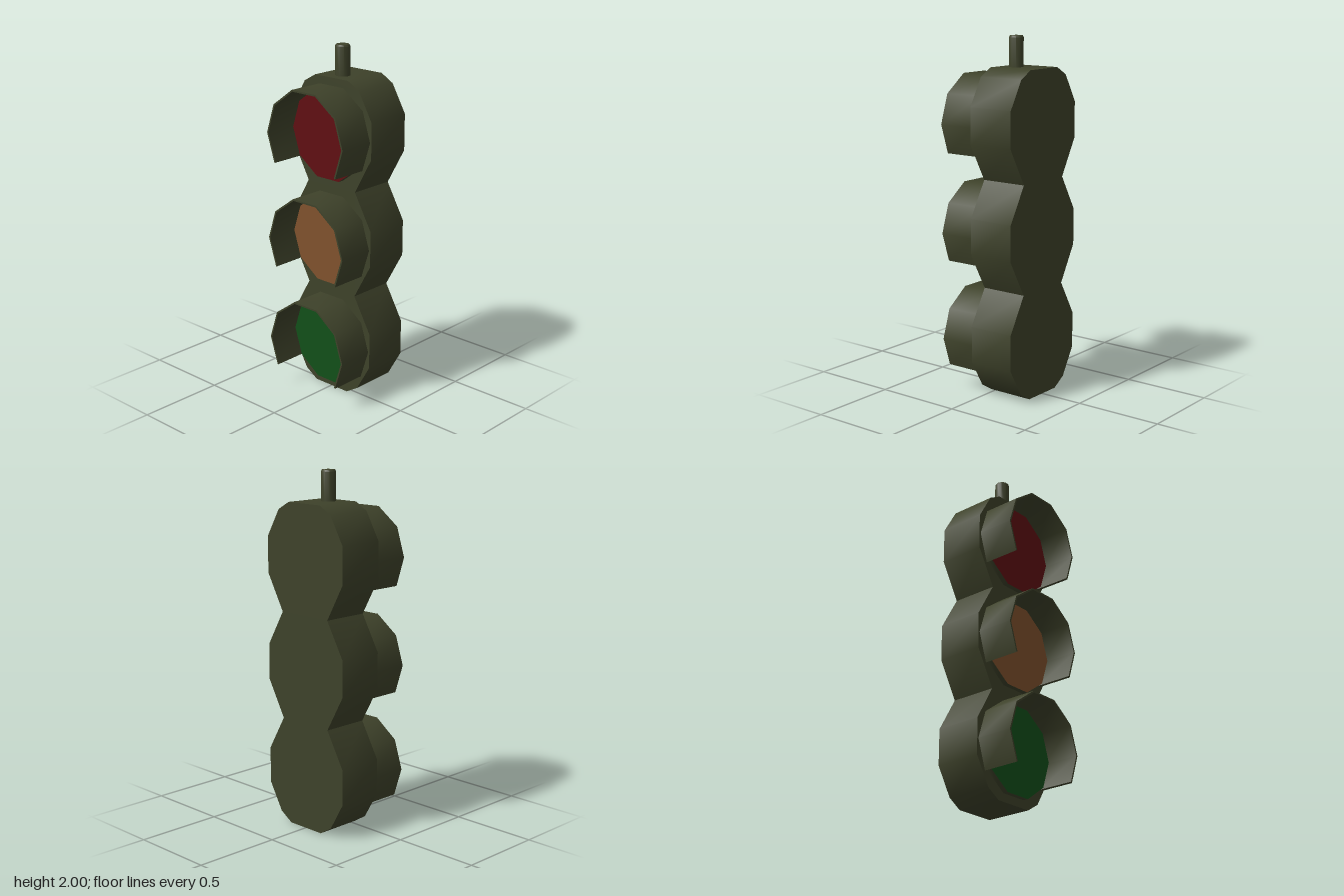
import * as THREE from 'three';
import { toCreasedNormals } from 'three/addons/utils/BufferGeometryUtils.js';

const CREASE = 0.65;
const SPACING = 0.61;

// Extrude an outline drawn in the z-y plane along x, from x0 to x1
function extrudeX(points, x0, x1) {
  const shape = new THREE.Shape(points.map(([u, v]) => new THREE.Vector2(u, v)));
  const geometry = new THREE.ExtrudeGeometry(shape, { depth: x1 - x0, bevelEnabled: false });
  geometry.rotateY(Math.PI / 2).translate(x0, 0, 0);
  return toCreasedNormals(geometry, CREASE);
}

// Corners of a ten-sided ring, counted in steps of 36 degrees
function decagon(radius, from, to) {
  const points = [];
  for (let i = from; i <= to; i++) {
    const a = (i * Math.PI) / 5;
    points.push([radius * Math.cos(a), radius * Math.sin(a)]);
  }
  return points;
}

export function createModel() {
  const paint = (name, color) => {
    const material = new THREE.MeshStandardMaterial({ color });
    material.name = name;
    return material;
  };
  const olive = paint('dark olive', 0x3e422a);
  const lenses = [
    ['green', paint('green lens', 0x125019)],
    ['amber', paint('amber lens', 0x80522d)],
    ['red', paint('red lens', 0x600f12)],
  ];

  const model = new THREE.Group();
  model.name = 'trafficLight';
  const add = (parent, name, geometry, material) => {
    const mesh = new THREE.Mesh(geometry, material);
    mesh.name = name;
    parent.add(mesh);
    return mesh;
  };

  // Housing: three lobes with pinched waists and chamfered ends
  const side = [
    [0.12, 0], [0.2, 0.05], [0.29, 0.205], [0.29, 0.41], [0.175, 0.61],
    [0.29, 0.815], [0.29, 1.02], [0.175, 1.22],
    [0.29, 1.425], [0.29, 1.63], [0.2, 1.785], [0.12, 1.83],
  ];
  const mirrored = side.map(([u, v]) => [-u, v]).reverse();
  add(model, 'housing', extrudeX([...side, ...mirrored], -0.03, 0.243), olive);

  // Each lamp: coloured face on an olive rim, under a hood open at the bottom
  const lensGeometry = extrudeX(decagon(0.264, 0, 9), -0.06, -0.02);
  const hoodOutline = [...decagon(0.281, -1, 6), ...decagon(0.271, -1, 6).reverse()];
  const hoodGeometry = extrudeX(hoodOutline, -0.245, -0.025);
  lenses.forEach(([name, material], i) => {
    const lamp = new THREE.Group();
    lamp.name = name + 'Lamp';
    lamp.position.y = 0.298 + i * SPACING;
    add(lamp, name + 'Lens', lensGeometry, [material, olive]);
    add(lamp, name + 'Hood', hoodGeometry, olive);
    model.add(lamp);
  });

  // Hanging rod with a small bevelled tip
  const rodProfile = [[0.042, 1.82], [0.042, 1.99], [0.036, 2], [0, 2]];
  const rod = new THREE.LatheGeometry(rodProfile.map(([r, y]) => new THREE.Vector2(r, y)), 10);
  add(model, 'hangingRod', toCreasedNormals(rod, CREASE), olive).position.set(0.057, 0, 0.002);

  return model;
}
